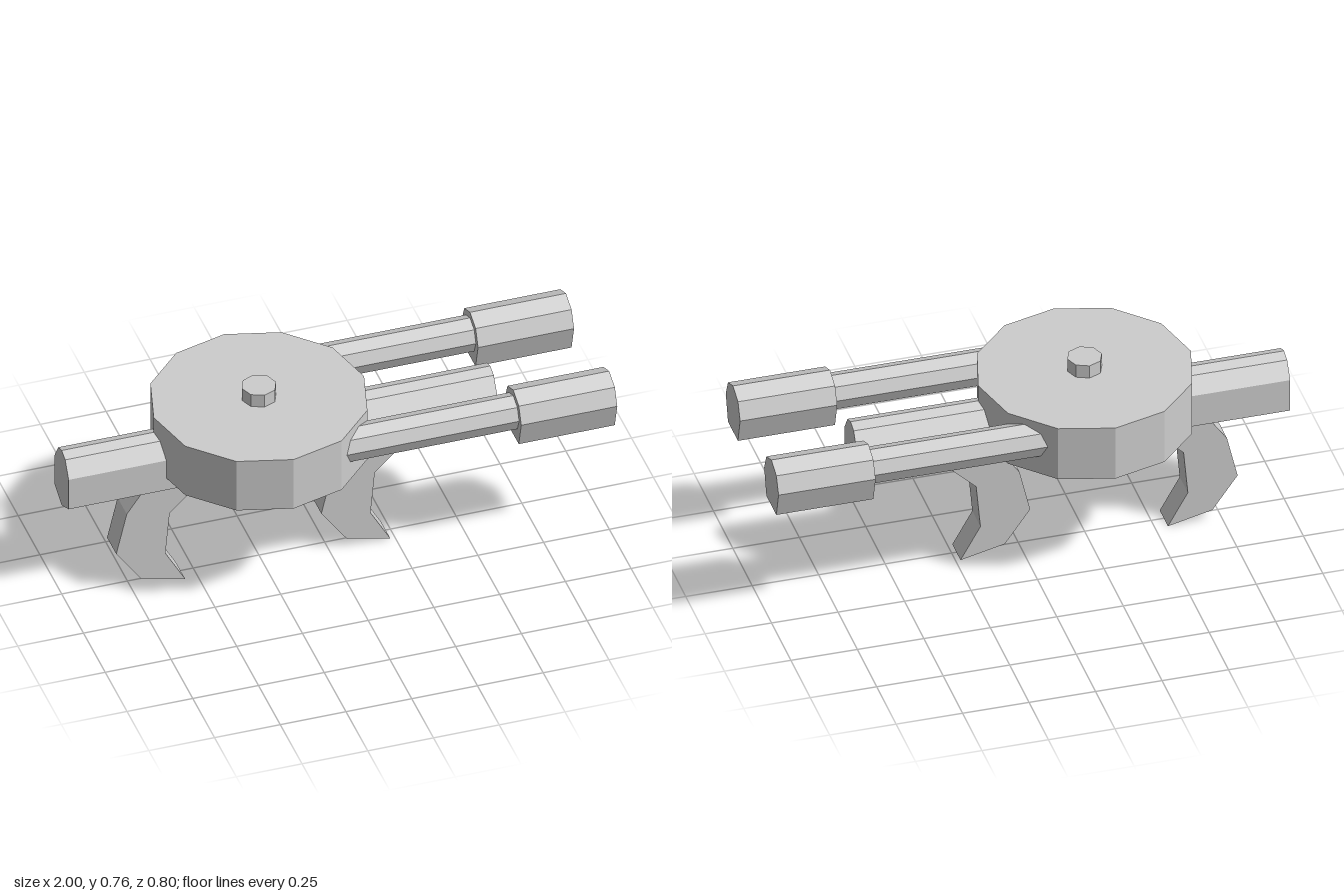
import * as THREE from 'three';

export function createModel() {
  const model = new THREE.Group();
  const grey = new THREE.MeshStandardMaterial({ color: 0xcccccc });
  grey.name = 'lightGrey';
  grey.flatShading = true;

  const add = (name, geometry, x = 0, y = 0, z = 0) => {
    const mesh = new THREE.Mesh(geometry, grey);
    mesh.name = name;
    mesh.position.set(x, y, z);
    model.add(mesh);
    return mesh;
  };
  const extrude = (points, depth) => new THREE.ExtrudeGeometry(
    new THREE.Shape(points.map(p => new THREE.Vector2(...p))),
    { depth, bevelEnabled: false });
  // Prism along x from a symmetric (z, y) section
  const prismX = (points, length) => extrude(points, length).rotateY(Math.PI / 2);
  // Plate in the xy plane, centred on z = 0
  const plate = (points, width) => extrude(points, width).translate(0, 0, -width / 2);

  // Long central body
  add('body', prismX([
    [0, 0.402], [0.08, 0.44], [0.08, 0.572], [0.04, 0.634],
    [0, 0.648], [-0.04, 0.634], [-0.08, 0.572], [-0.08, 0.44],
  ], 1.63), -1);

  // Drum and its knob
  add('drum', new THREE.CylinderGeometry(0.4, 0.4, 0.22, 12), -0.25, 0.604, 0);
  add('knob', new THREE.CylinderGeometry(0.065, 0.065, 0.063, 8), -0.25, 0.7355, 0);

  // Twin side barrels with heavy muzzles
  for (const [side, s] of [['left', -1], ['right', 1]]) {
    const z = s * 0.248;
    add(side + 'Barrel',
      new THREE.CylinderGeometry(0.068, 0.068, 0.74, 8).rotateZ(Math.PI / 2), 0.28, 0.62, z);
    add(side + 'Muzzle', prismX([
      [-0.064, 0.515], [0.064, 0.515], [0.093, 0.62], [0.065, 0.686],
      [0, 0.713], [-0.065, 0.686], [-0.093, 0.62],
    ], 0.365), 0.635, 0, z);
  }

  // Two curved grips, the same shape
  const grip = [
    [-0.69, 0.455], [-0.71, 0.43], [-0.77, 0.345], [-0.81, 0.175], [-0.715, 0.042],
    [-0.548, 0.003], [-0.623, 0.135], [-0.607, 0.312], [-0.485, 0.43], [-0.50, 0.455],
  ];
  add('rearGrip', plate(grip, 0.106));
  add('frontGrip', plate(grip, 0.106), 0.78);

  // Trigger: a wedge pinched to a point at its tip
  const trigger = plate([[-0.55, 0.425], [-0.42, 0.287], [-0.49, 0.425]], 0.06);
  const pos = trigger.attributes.position;
  for (let i = 0; i < pos.count; i++) if (pos.getY(i) < 0.35) pos.setZ(i, 0);
  trigger.computeVertexNormals();
  add('trigger', trigger);

  return model;
}
